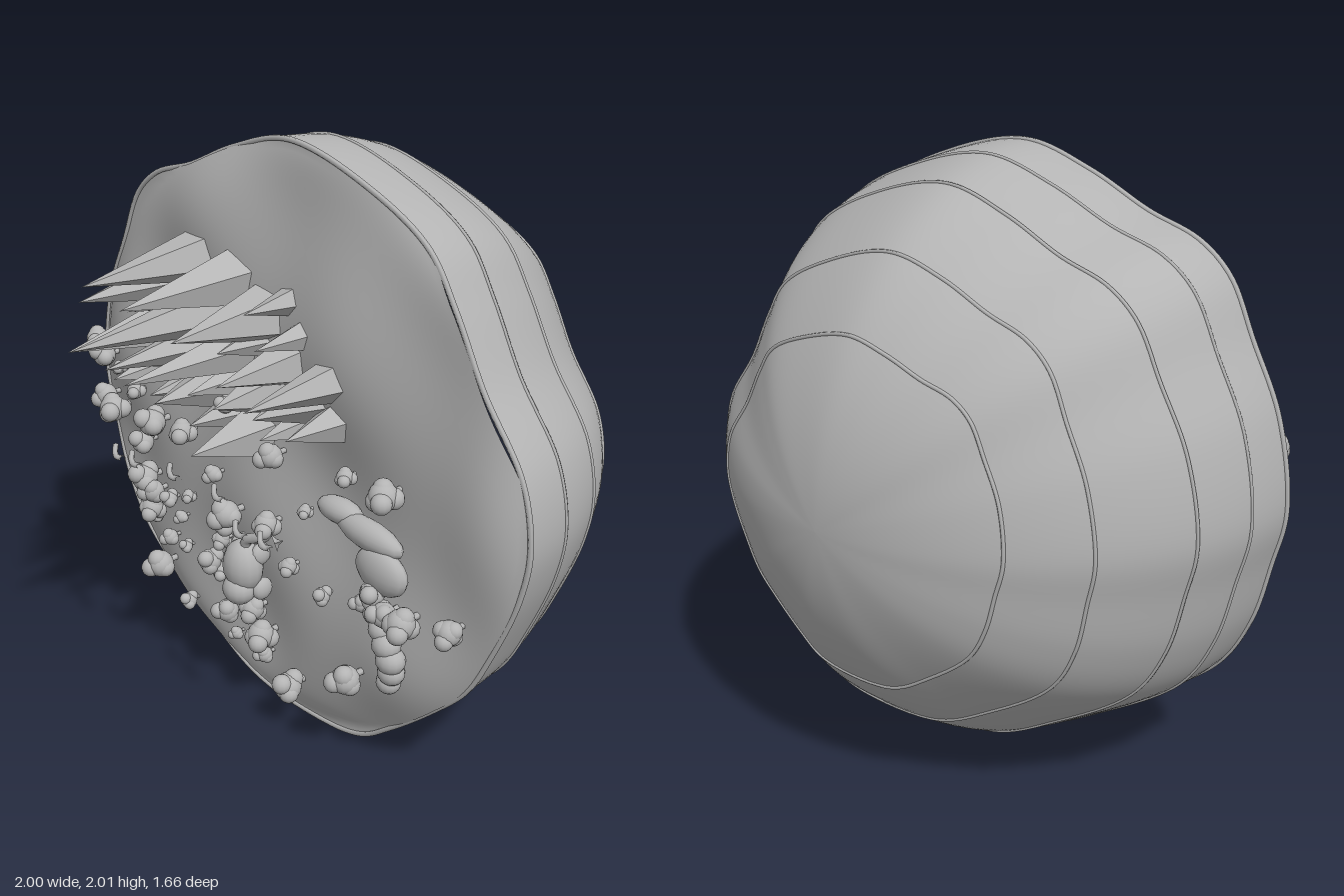
import * as THREE from 'three';

const stone = new THREE.MeshStandardMaterial({ color: 0xb4b4b4 });
stone.name = 'stone grey';
const facetedStone = stone.clone();
facetedStone.flatShading = true;

const RIM_Z = 0.155, DEPTH = 0.99, SEG = 168;

// Lobed outline of the island: [angle in degrees, radius]
const lobes = [[0, .99], [12, .969], [28, .9], [43, .93], [54, .975], [70, .975], [90, .997], [105, .965], [119, .957],
  [130, 1.01], [138, 1.02], [149, .985], [163, .99], [180, .995], [191, .975], [204, .985], [217, .985], [240, .948],
  [258, .985], [278, 1.0], [289, 1.01], [298, .98], [313, .957], [324, .965], [335, .957], [350, .977]];
const outline = new THREE.CatmullRomCurve3(lobes.map(([a, r]) => {
  const t = a * Math.PI / 180;
  return new THREE.Vector3(r * Math.cos(t), r * Math.sin(t), 0);
}), true).getSpacedPoints(SEG).slice(0, SEG);

// Rolling ground with a mound under the crystals, dropping to the rim at its edge
function ground(x, y) {
  const s = Math.min(1, Math.hypot(x, y - 1) / 0.98);
  const waves = 0.02 * Math.sin(6.5 * x - 5 * y + 6.9) + 0.016 * Math.sin(7 * y + 4 * x + 3.4)
    + 0.008 * Math.sin(11 * x + 3 * y);
  const mound = 0.03 * Math.exp(-((x + .18) ** 2 + (y - 1.32) ** 2) / 0.12);
  return RIM_Z + (1 - s ** 10) * (0.05 + waves + mound);
}

// Surface of concentric outlines; place(i/rows) gives [scale, z or null for ground]
function outlineSurface(rows, place) {
  const pos = [], idx = [];
  for (let i = 0; i <= rows; i++) {
    const [s, z] = place(i / rows);
    for (const p of outline) pos.push(p.x * s, 1 + p.y * s, z ?? ground(p.x * s, 1 + p.y * s));
  }
  for (let i = 0; i < rows; i++) for (let j = 0; j < SEG; j++) {
    const a = i * SEG + j, b = i * SEG + (j + 1) % SEG, c = a + SEG, d = b + SEG;
    idx.push(a, c, d, a, d, b);
  }
  const g = new THREE.BufferGeometry();
  g.setAttribute('position', new THREE.Float32BufferAttribute(pos, 3));
  g.setIndex(idx);
  g.computeVertexNormals();
  return g;
}

// Crystals: [x, y, radius, tip z]
const crystals = [[-.36, 1.57, .09, .68], [-.56, 1.44, .08, .56], [-.2, 1.53, .1, .66], [-.05, 1.45, .1, .59],
  [.06, 1.52, .05, .4], [.13, 1.43, .05, .42], [-.38, 1.44, .07, .5], [-.22, 1.44, .1, .83], [-.07, 1.36, .06, .4],
  [-.46, 1.33, .11, .68], [-.57, 1.31, .06, .42], [-.24, 1.34, .095, .7], [-.16, 1.31, .085, .69], [.08, 1.33, .085, .53],
  [.26, 1.32, .07, .58], [-.63, 1.22, .05, .36], [-.48, 1.18, .1, .5], [-.36, 1.25, .08, .45], [-.29, 1.15, .1, .48],
  [-.16, 1.21, .075, .45], [0, 1.22, .1, .48], [.16, 1.23, .085, .46], [.26, 1.18, .07, .42], [.12, 1.13, .065, .4],
  [-.45, 1.1, .06, .38], [-.22, 1.07, .065, .4], [-.09, 1.04, .105, .5]];

// Bushes: x, y pairs grouped by size
const bushes = {
  0.05: [-.82, .905, -.58, .93, -.15, .75, .52, 1.04, -.67, .68, -.57, .38, -.07, .29, .09, .17, .4, .36, .62, .655],
  0.042: [-.89, 1.15, -.83, 1.11, -.88, .935, -.43, .94, -.67, .82, .03, 1.01, .01, .76, -.18, .7, -.63, .64, -.64, .57,
    -.31, .49, -.26, .3, -.12, .37, .48, .69, .54, .65, .78, .68],
  0.03: [-.69, 1.01, -.2, 1.11, -.25, .85, .32, 1.02, -.54, .64, -.54, .49, -.28, .45, -.46, .26, -.09, .19, .08, .62,
    .23, .57, .42, .63, -.24, .6],
  0.023: [-.78, 1.07, -.65, .52, -.48, .59, -.43, .69, -.46, .48, -.25, .2, .13, .83],
};

export function createModel() {
  const model = new THREE.Group();
  const add = (name, geometry, x = 0, y = 0, z = 0, parent = model, material = stone) => {
    const m = new THREE.Mesh(geometry, material);
    m.name = name;
    m.position.set(x, y, z);
    parent.add(m);
    return m;
  };
  const group = (name) => {
    const g = new THREE.Group();
    g.name = name;
    model.add(g);
    return g;
  };

  // Island body
  add('dome', outlineSurface(40, t => [Math.cos(t * Math.PI / 2), RIM_Z - DEPTH * Math.sin(t * Math.PI / 2)]));
  add('ground', outlineSurface(64, t => [t, null]));

  // Rim and layer lines around the dome
  for (const z of [RIM_Z, -.025, -.23, -.485, -.66]) {
    const isRim = z === RIM_Z;
    const path = outline.map((p, j) => {
      const wave = isRim ? 0 : 0.007 * Math.sin(3 * j / SEG * Math.PI * 2 + z * 9);
      const s = Math.sqrt(1 - ((RIM_Z - z - wave) / DEPTH) ** 2);
      return new THREE.Vector3(p.x * s, 1 + p.y * s, z + wave);
    });
    add(isRim ? 'rim' : 'layerLine',
      new THREE.TubeGeometry(new THREE.CatmullRomCurve3(path, true), 240, isRim ? 0.009 : 0.006, 6, true));
  }

  // Crystal peaks
  const peaks = group('crystalPeaks');
  crystals.forEach(([x, y, r, tip], i) => {
    const base = ground(x, y) - 0.02;
    const cone = new THREE.ConeGeometry(r, tip - base, 5).rotateY(i * 0.37).rotateX(Math.PI / 2);
    add('crystal', cone, x, y, (tip + base) / 2, peaks, facetedStone);
  });

  // Bushes, each a tight clump of balls on a stubby stem
  const thicket = group('bushes');
  const ball = new THREE.SphereGeometry(1, 14, 10);
  for (const [size, spots] of Object.entries(bushes)) for (let i = 0; i < spots.length; i += 2) {
    const r = +size, x = spots[i], y = spots[i + 1], floor = ground(x, y), z = floor + r * 1.45;
    add('bushStem', new THREE.CylinderGeometry(r * .2, r * .25, r * 1.5, 6).rotateX(Math.PI / 2), x, y, floor + r * .6, thicket);
    add('bushCore', ball, x, y, z, thicket).scale.setScalar(r * 0.95);
    for (let k = 0; k < 4; k++) {
      const a = i + k * 2.1;
      add('bushLobe', ball, x + Math.cos(a) * r * .45, y + Math.sin(a) * r * .45, z + r * (.35 * k - .45), thicket)
        .scale.setScalar(r * 0.68);
    }
  }

  // Resting animal: body, head, legs and curling tail
  const animal = group('animal');
  const az = ground(-.11, .53) + 0.075;
  const blob = (name, x, y, z, sx, sy, sz, parent) => add(name, ball, x, y, z, parent).scale.set(sx, sy, sz);
  blob('body', -.11, .56, az, .075, .095, .065, animal);
  blob('head', -.11, .48, az + .02, .06, .055, .055, animal);
  for (const s of [-1, 1]) {
    blob('frontLeg', -.11 + s * .055, .48, az - .035, .025, .04, .04, animal);
    blob('backLeg', -.11 + s * .05, .61, az - .035, .025, .04, .04, animal);
  }
  const tail = new THREE.CatmullRomCurve3([[-.1, .63], [-.08, .67], [-.04, .69], [0, .71], [.02, .75]]
    .map(([x, y]) => new THREE.Vector3(x, y, ground(x, y) + 0.055)));
  add('tail', new THREE.TubeGeometry(tail, 20, 0.018, 8), 0, 0, 0, animal);

  // Smooth flat boulders
  const rocks = group('flatBoulders');
  for (const [x, y, sx, sy, tilt] of [[.28, .885, .095, .042, 0], [.42, .855, .14, .05, -.1], [.49, .765, .105, .078, -.1]]) {
    const m = add('boulder', ball, x, y, ground(x, y) + .04, rocks);
    m.scale.set(sx, sy, .045);
    m.rotation.z = tilt;
  }

  // Segmented crawler
  const crawler = group('crawler');
  [[.44, .65, .033], [.47, .61, .036], [.51, .575, .04], [.54, .535, .045], [.56, .49, .046], [.56, .445, .042],
    [.545, .4, .038]].forEach(([x, y, r]) => blob('segment', x, y, ground(x, y) + r * .7, r * 1.1, r, r, crawler));

  // Flying birds with bent wings
  const flock = group('flock');
  for (const [x, y, z] of [[-.5, .9, .48], [-.34, .945, .53], [-.18, .945, .5], [-.02, .91, .45], [.14, .86, .5], [.29, .89, .53]]) {
    const wings = new THREE.CatmullRomCurve3([[-.048, .012, -.022], [-.02, -.002, .002], [0, -.006, .008], [.022, -.004, .004],
      [.048, .006, .02]].map(p => new THREE.Vector3(...p)));
    add('bird', new THREE.TubeGeometry(wings, 12, 0.01, 6), x, y, z, flock);
  }

  // Small hovering star
  const star = group('star');
  star.position.set(.14, .77, .35);
  for (let k = 0; k < 3; k++) {
    const a = Math.PI / 6 + k * Math.PI * 2 / 3;
    add('starPoint', new THREE.ConeGeometry(.012, .035, 4), Math.cos(a) * .016, Math.sin(a) * .016, 0, star, facetedStone)
      .rotation.z = a - Math.PI / 2;
  }
  return model;
}
